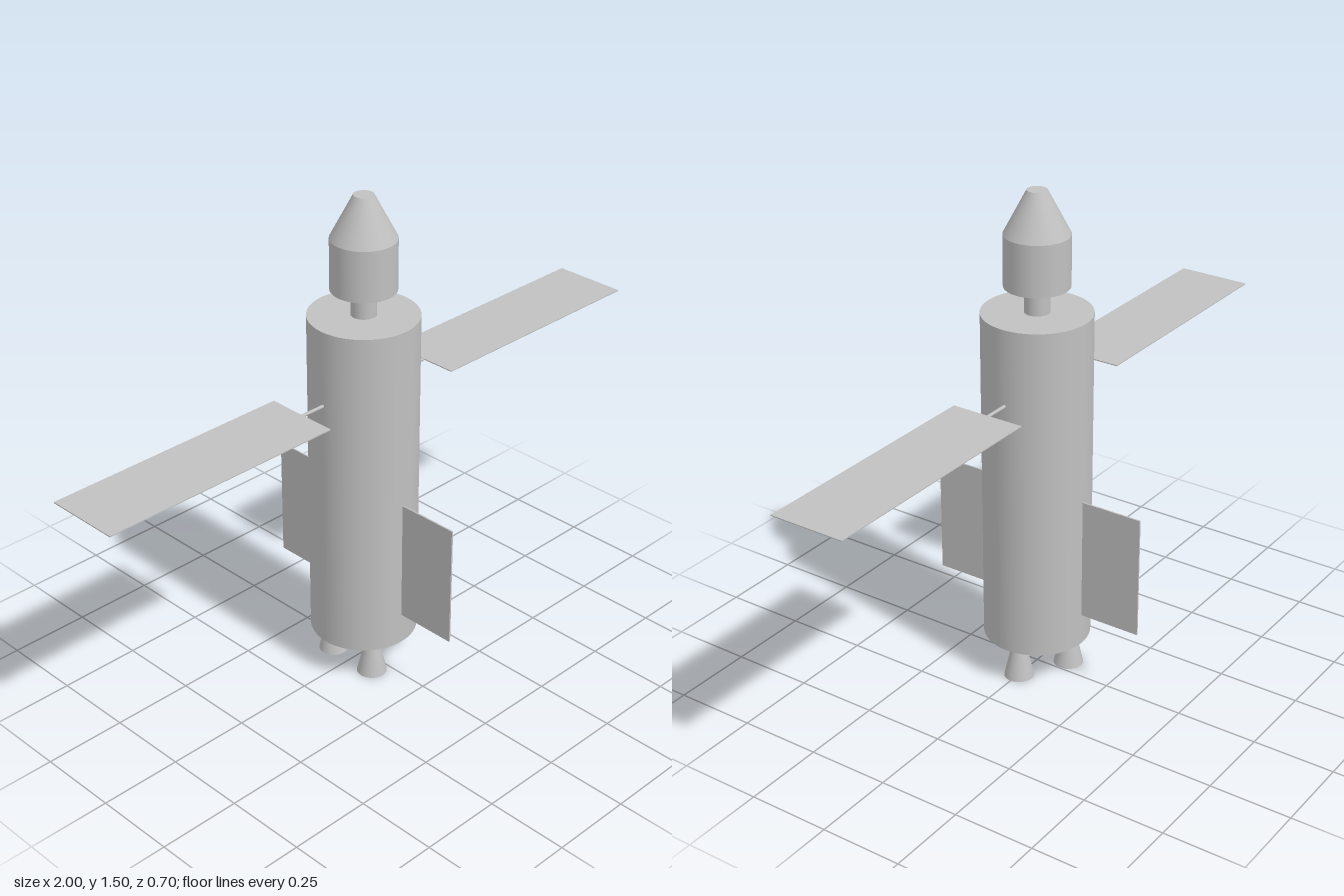
import * as THREE from 'three';

export function createModel() {
  const model = new THREE.Group();
  model.name = 'spacecraft';
  const grey = new THREE.MeshStandardMaterial({ color: 0xc0c0c0 });
  grey.name = 'hull grey';

  const add = (name, geometry, x = 0, y = 0, z = 0) => {
    const mesh = new THREE.Mesh(geometry, grey);
    mesh.name = name;
    mesh.position.set(x, y, z);
    model.add(mesh);
    return mesh;
  };
  // Upright closed cylinder or cone between two heights
  const column = (name, rTop, rBottom, y0, y1, x = 0, z = 0, openEnded = false) =>
    add(name, new THREE.CylinderGeometry(rTop, rBottom, y1 - y0, 64, 1, openEnded), x, (y0 + y1) / 2, z);

  // Hull, docking neck and capsule
  column('body', 0.16, 0.16, 0.118, 1.147);
  column('neck', 0.037, 0.037, 1.147, 1.225);
  column('capsule', 0.095, 0.095, 1.225, 1.377);
  column('noseCone', 0.029, 0.095, 1.377, 1.503);

  // Three engine nozzles around the axis
  for (let i = 0; i < 3; i++) {
    const a = (i * Math.PI * 2) / 3;
    column('nozzle', 0.018, 0.045, 0, 0.12, 0.095 * Math.cos(a), 0.095 * Math.sin(a));
  }

  for (const s of [1, -1]) {
    const side = s > 0 ? 'left' : 'right';
    // Solar wing and its boom
    add(side + 'SolarPanel', new THREE.BoxGeometry(0.76, 0.003, 0.228), s * 0.62, 0.92, 0);
    const boom = add(side + 'Boom', new THREE.CylinderGeometry(0.005, 0.005, 0.09, 16), s * 0.195, 0.917, 0);
    boom.rotation.z = Math.PI / 2;
    // Radiator fin, front and back
    add(s > 0 ? 'frontFin' : 'backFin', new THREE.BoxGeometry(0.005, 0.377, 0.195), 0, 0.404, s * 0.2545);
  }
  return model;
}
